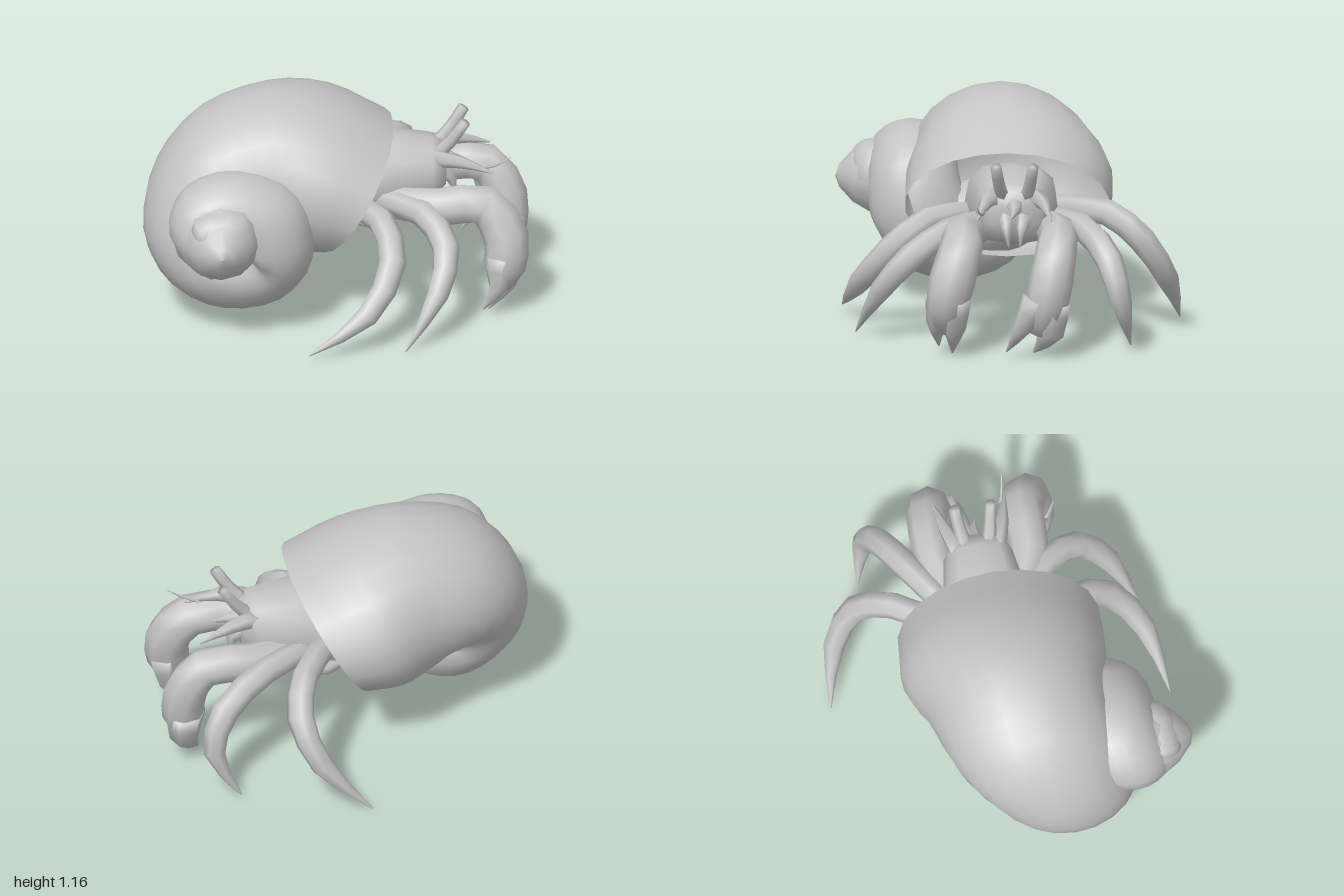
import * as THREE from 'three';

const V = (p) => new THREE.Vector3(...p);
const crabGrey = new THREE.MeshStandardMaterial({ color: 0xc4c4c4, side: THREE.DoubleSide });
crabGrey.name = 'crabGrey';

// Skin a list of closed rings (arrays of Vector3); the far end is closed, the start optionally
function loft(rings, closeStart = true) {
  const n = rings[0].length, pos = [], idx = [];
  rings.forEach((r) => r.forEach((p) => pos.push(p.x, p.y, p.z)));
  for (let i = 0; i < rings.length - 1; i++) {
    for (let j = 0; j < n; j++) {
      const a = i * n + j, b = i * n + (j + 1) % n;
      idx.push(a, b, a + n, b, b + n, a + n);
    }
  }
  const cap = (row, flip) => {
    const c = rings[row].reduce((s, p) => s.add(p), new THREE.Vector3()).divideScalar(n);
    const k = pos.push(c.x, c.y, c.z) / 3 - 1;
    for (let j = 0; j < n; j++) {
      const a = row * n + j, b = row * n + (j + 1) % n;
      idx.push(k, flip ? b : a, flip ? a : b);
    }
  };
  if (closeStart) cap(0, true);
  cap(rings.length - 1, false);
  const g = new THREE.BufferGeometry();
  g.setAttribute('position', new THREE.Float32BufferAttribute(pos, 3));
  g.setIndex(idx);
  g.computeVertexNormals();
  return g;
}

// Tapering limb through points [x, y, z, radius]
function limb(points, sides = 7, steps = 2) {
  const curve = new THREE.CatmullRomCurve3(points.map((p) => V(p.slice(0, 3))), false, 'centripetal');
  const count = (points.length - 1) * steps;
  const rings = [];
  let side = null;
  for (let i = 0; i <= count; i++) {
    const t = i / count, f = t * (points.length - 1), k = Math.min(Math.floor(f), points.length - 2);
    const r = THREE.MathUtils.lerp(points[k][3], points[k + 1][3], f - k);
    const c = curve.getPoint(t), dir = curve.getTangent(t);
    if (!side) side = new THREE.Vector3().crossVectors(dir, new THREE.Vector3(0, 1, 0));
    side.addScaledVector(dir, -side.dot(dir)).normalize();
    const up = new THREE.Vector3().crossVectors(side, dir);
    rings.push(Array.from({ length: sides }, (_, j) => {
      const a = (j / sides) * Math.PI * 2;
      return c.clone().addScaledVector(side, Math.cos(a) * r).addScaledVector(up, Math.sin(a) * r);
    }));
  }
  return loft(rings);
}

// Spiral shell: each row is the inner x,y, outer x,y, z centre and z half-width of a section
const whorls = [
  [-0.10, 0.30, 0.30, 0.95, 0.00, 0.53],
  [-0.27, 0.29, 0.00, 1.11, -0.01, 0.535],
  [-0.38, 0.30, -0.33, 1.165, 0.02, 0.47],
  [-0.42, 0.34, -0.70, 1.05, 0.07, 0.45],
  [-0.40, 0.38, -0.93, 0.79, 0.12, 0.42],
  [-0.36, 0.45, -1.00, 0.47, 0.20, 0.38],
  [-0.38, 0.52, -0.87, 0.21, 0.24, 0.37],
  [-0.45, 0.60, -0.60, 0.08, 0.25, 0.37],
  [-0.52, 0.60, -0.29, 0.15, 0.31, 0.34],
  [-0.62, 0.52, -0.13, 0.42, 0.43, 0.28],
  [-0.62, 0.45, -0.21, 0.77, 0.48, 0.24],
  [-0.58, 0.45, -0.52, 0.91, 0.49, 0.23],
  [-0.54, 0.50, -0.80, 0.83, 0.52, 0.22],
  [-0.52, 0.58, -0.88, 0.60, 0.56, 0.20],
  [-0.58, 0.66, -0.68, 0.38, 0.60, 0.18],
  [-0.68, 0.60, -0.43, 0.55, 0.65, 0.15],
  [-0.64, 0.55, -0.50, 0.78, 0.68, 0.13],
  [-0.60, 0.57, -0.76, 0.75, 0.71, 0.11],
  [-0.60, 0.62, -0.74, 0.56, 0.74, 0.08],
];

function shellGeometry() {
  const path = (pick) => new THREE.CatmullRomCurve3(whorls.map((w) => V(pick(w))), false, 'catmullrom', 0.5);
  const inner = path((w) => [w[0], w[1], w[4]]);
  const outer = path((w) => [w[2], w[3], w[4]]);
  const width = path((w) => [w[5], 0, 0]);
  const steps = (whorls.length - 1) * 3, sides = 22, rings = [];
  for (let i = 0; i <= steps; i++) {
    const t = i / steps, a = inner.getPoint(t), b = outer.getPoint(t), h = width.getPoint(t).x;
    const mid = a.clone().lerp(b, 0.5), half = b.clone().sub(mid);
    rings.push(Array.from({ length: sides }, (_, j) => {
      const q = (j / sides) * Math.PI * 2;
      const p = mid.clone().addScaledVector(half, Math.cos(q));
      p.z += Math.sin(q) * h;
      return p;
    }));
  }
  return loft(rings, false);
}

// Body sections along x: x, bottom, top, z centre, half-width
function bodyGeometry() {
  const rows = [
    [-0.25, 0.42, 0.72, 0.00, 0.20],
    [0.05, 0.42, 0.84, -0.02, 0.24],
    [0.28, 0.46, 0.87, -0.04, 0.22],
    [0.50, 0.52, 0.84, -0.04, 0.18],
    [0.57, 0.60, 0.81, -0.04, 0.13],
  ];
  return loft(rows.map(([x, y0, y1, zc, h]) => Array.from({ length: 12 }, (_, j) => {
    const a = (j / 12) * Math.PI * 2, c = Math.cos(a), s = Math.sin(a);
    const box = (v) => Math.sign(v) * Math.abs(v) ** 0.75;
    return new THREE.Vector3(x, (y0 + y1) / 2 + box(s) * (y1 - y0) / 2, zc + box(c) * h);
  })));
}

export function createModel() {
  const model = new THREE.Group();
  model.name = 'hermitCrab';
  const add = (name, geometry) => {
    const mesh = new THREE.Mesh(geometry, crabGrey);
    mesh.name = name;
    model.add(mesh);
    return mesh;
  };

  // Shell, with a blunt spire filling the middle of the whorls
  add('shell', shellGeometry());
  const spire = [[0.25, 0.56], [0.2, 0.7], [0.14, 0.8], [0.06, 0.87], [0, 0.89]];
  const tip = add('shellSpire', new THREE.LatheGeometry(spire.map((p) => new THREE.Vector2(...p)), 12));
  tip.rotation.x = Math.PI / 2;
  tip.position.set(-0.62, 0.6, 0);
  // Core closing the hollow where the whorls meet underneath
  const core = add('shellCore', new THREE.SphereGeometry(1, 18, 12));
  core.scale.set(0.23, 0.2, 0.3);
  core.position.set(-0.38, 0.44, 0.12);

  add('body', bodyGeometry());

  // Walking legs
  const legs = {
    frontInnerLeg: [[0.2, 0.57, 0.1], [0.44, 0.57, 0.3], [0.55, 0.46, 0.49], [0.5, 0.27, 0.65], [0.33, 0.01, 0.78]],
    frontOuterLeg: [[0.05, 0.57, 0.15], [0.22, 0.58, 0.4], [0.27, 0.43, 0.6], [0.13, 0.21, 0.77], [-0.17, 0.03, 0.85]],
    backInnerLeg: [[0.2, 0.58, -0.18], [0.5, 0.61, -0.39], [0.74, 0.49, -0.53], [0.81, 0.28, -0.59], [0.68, 0.03, -0.64]],
    backOuterLeg: [[0.12, 0.62, -0.2], [0.32, 0.64, -0.52], [0.38, 0.51, -0.7], [0.29, 0.28, -0.83], [0.04, 0.02, -0.89]],
  };
  const legRadii = [0.065, 0.07, 0.072, 0.058, 0.004];
  for (const [name, pts] of Object.entries(legs)) add(name, limb(pts.map((p, i) => [...p, legRadii[i]])));

  // Claws: arm swelling into a palm, then two pointed fingers
  const claws = {
    leftClaw: {
      arm: [[0.2, 0.56, 0.1, 0.08], [0.52, 0.57, 0.23, 0.105], [0.76, 0.58, 0.23, 0.11], [0.87, 0.42, 0.28, 0.12], [0.86, 0.26, 0.31, 0.11], [0.83, 0.14, 0.31, 0.05]],
      fingers: [[[0.89, 0.32, 0.27, 0.09], [0.87, 0.16, 0.27, 0.06], [0.78, 0.01, 0.28, 0.004]],
        [[0.85, 0.32, 0.33, 0.09], [0.83, 0.18, 0.36, 0.055], [0.75, 0.04, 0.35, 0.004]]],
    },
    rightClaw: {
      arm: [[0.2, 0.58, -0.14, 0.08], [0.55, 0.59, -0.26, 0.1], [0.79, 0.59, -0.26, 0.105], [0.89, 0.42, -0.23, 0.115], [0.89, 0.26, -0.2, 0.11], [0.87, 0.14, -0.17, 0.06]],
      fingers: [[[0.91, 0.32, -0.15, 0.08], [0.92, 0.18, -0.08, 0.05], [0.83, 0.03, 0, 0.004]],
        [[0.89, 0.3, -0.24, 0.1], [0.89, 0.16, -0.23, 0.08], [0.8, 0.02, -0.14, 0.006]]],
    },
  };
  for (const [name, { arm, fingers }] of Object.entries(claws)) {
    add(name, limb(arm, 8));
    fingers.forEach((f, i) => add(`${name}Finger${i + 1}`, limb(f, 6)));
  }

  // Paired head parts, mirrored about the head's middle
  for (const s of [1, -1]) {
    const z = (d) => -0.04 + s * d;
    add('eyeStalk', limb([[0.52, 0.77, z(0.06), 0.04], [0.6, 0.86, z(0.08), 0.033], [0.67, 0.97, z(0.095), 0.03]], 6));
    add('antennaBase', limb([[0.5, 0.77, z(0.1), 0.05], [0.64, 0.77, z(0.15), 0.035], [0.81, 0.72, z(0.19), 0.004]], 5));
    add('mouthpart', limb([[0.52, 0.68, z(0.05), 0.05], [0.6, 0.63, z(0.04), 0.03], [0.61, 0.53, z(0.03), 0.004]], 5));
    // Short hind legs tucked inside the shell opening
    add('hindLeg', limb([[0, 0.5, z(0.1), 0.05], [0.15, 0.47, z(0.2), 0.035], [0.28, 0.49, z(0.22), 0.005]], 5));
  }
  add('feeler', limb([[0.74, 0.74, 0.12, 0.012], [0.82, 0.76, 0.14, 0.008], [0.9, 0.81, 0.15, 0.002]], 4));
  add('snout', limb([[0.52, 0.74, -0.04, 0.06], [0.64, 0.72, -0.04, 0.02], [0.7, 0.7, -0.02, 0.003]], 5));

  return model;
}
